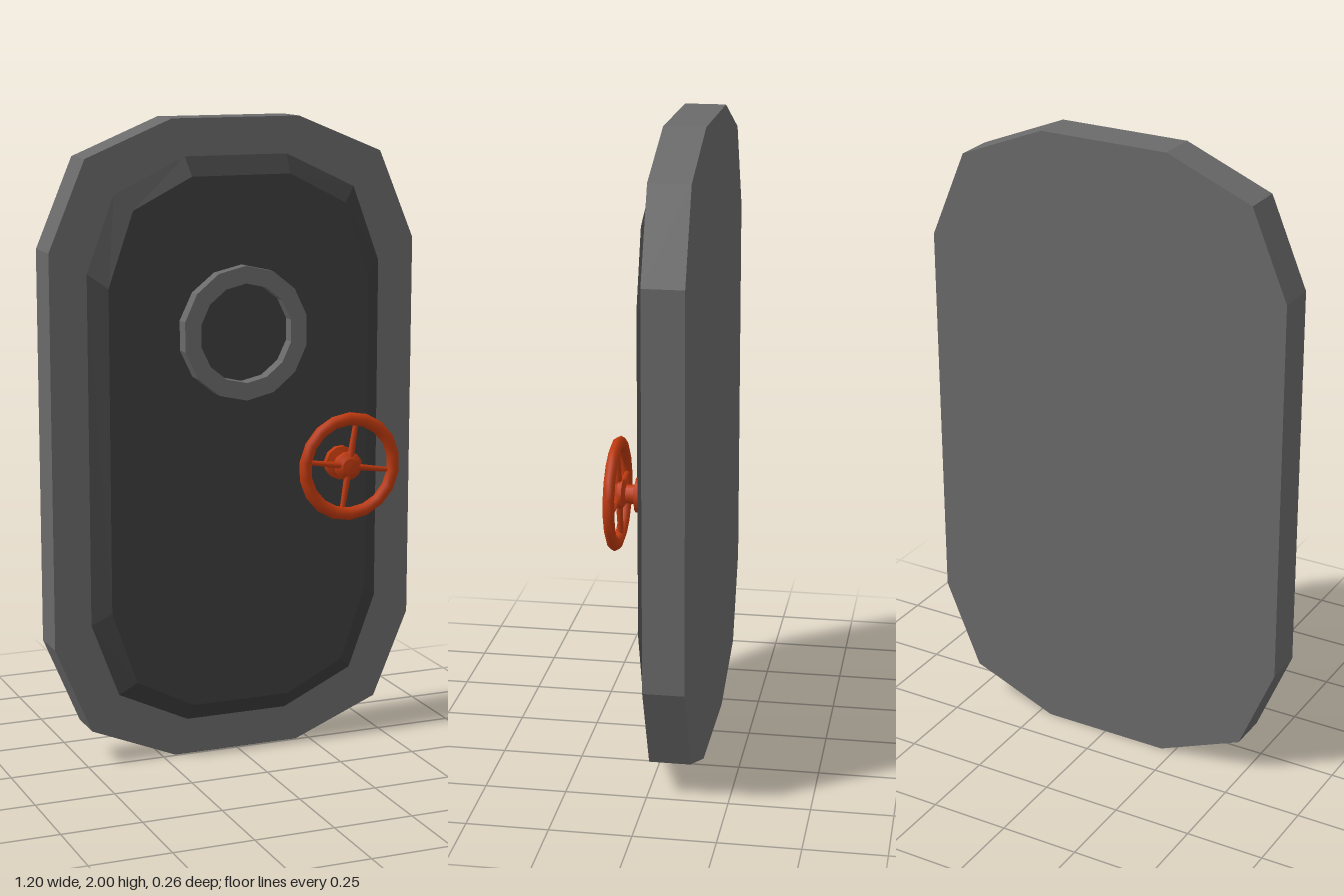
import * as THREE from 'three';

const frameMat = new THREE.MeshStandardMaterial({ color: 0x6a6a6a });
frameMat.name = 'grey steel';
const doorMat = new THREE.MeshStandardMaterial({ color: 0x3d3d3d });
doorMat.name = 'dark steel';
const wheelMat = new THREE.MeshStandardMaterial({ color: 0xc03a0f });
wheelMat.name = 'orange paint';

function part(parent, name, geometry, material) {
  const mesh = new THREE.Mesh(geometry, material);
  mesh.name = name;
  parent.add(mesh);
  return mesh;
}

// Mirror one corner (three points around y = 1) into a closed 12-sided outline
function outline(corner) {
  const back = [...corner].reverse();
  return [
    ...corner,
    ...back.map(([x, y]) => [-x, y]),
    ...corner.map(([x, y]) => [-x, -y]),
    ...back.map(([x, y]) => [x, -y]),
  ].map(([x, y]) => new THREE.Vector2(x, y + 1));
}

// Bevelled panel: sloped sides between two outlines plus a flat front
function panel(base, front, z0, z1) {
  const pos = [];
  const put = (p, z) => pos.push(p.x, p.y, z);
  const n = base.length;
  for (let i = 0; i < n; i++) {
    const j = (i + 1) % n;
    put(base[i], z0); put(base[j], z0); put(front[j], z1);
    put(base[i], z0); put(front[j], z1); put(front[i], z1);
    put(new THREE.Vector2(0, 1), z1); put(front[i], z1); put(front[j], z1);
  }
  const g = new THREE.BufferGeometry();
  g.setAttribute('position', new THREE.Float32BufferAttribute(pos, 3));
  g.computeVertexNormals();
  return g;
}

function polygon(target, radius, sides) {
  const pts = [];
  for (let i = 0; i < sides; i++) {
    const a = Math.PI / 2 + (i / sides) * Math.PI * 2;
    pts.push(new THREE.Vector2(radius * Math.cos(a), radius * Math.sin(a)));
  }
  return target.setFromPoints(pts).closePath();
}

// Porthole rim with a slightly tilted front face
function rimGeometry() {
  const shape = polygon(new THREE.Shape(), 0.207, 14);
  shape.holes.push(polygon(new THREE.Path(), 0.153, 14));
  const g = new THREE.ExtrudeGeometry(shape, { depth: 0.045, bevelEnabled: false });
  const p = g.attributes.position;
  for (let i = 0; i < p.count; i++) {
    if (p.getZ(i) > 0.02) p.setZ(i, p.getZ(i) - 0.022 * (p.getX(i) + p.getY(i)));
  }
  g.computeVertexNormals();
  return g;
}

// Valve wheel: rim, four spokes and a turned hub, all facing +z
function valveWheel() {
  const wheel = new THREE.Group();
  wheel.name = 'valveWheel';
  const rim = part(wheel, 'wheelRim', new THREE.TorusGeometry(0.152, 0.021, 8, 18), wheelMat);
  rim.scale.z = 0.83;
  rim.position.z = 0.112;
  for (let i = 0; i < 4; i++) {
    const a = (i * Math.PI) / 2;
    const g = new THREE.CylinderGeometry(0.008, 0.011, 0.12, 6);
    g.translate(0, 0.085, 0).rotateZ(a);
    part(wheel, 'spoke', g, wheelMat).position.z = 0.108;
  }
  const profile = [
    [0.054, 0.034], [0.054, 0.055], [0.03, 0.06], [0.028, 0.085],
    [0.045, 0.095], [0.045, 0.108], [0.026, 0.121], [0, 0.123],
  ].map(([r, z]) => new THREE.Vector2(r, z));
  // Each band of the profile is separate so its edges stay crisp
  for (let i = 0; i + 1 < profile.length; i++) {
    const g = new THREE.LatheGeometry([profile[i], profile[i + 1]], 12);
    g.rotateX(Math.PI / 2);
    part(wheel, 'hub', g, wheelMat);
  }
  wheel.rotation.z = -0.16;
  wheel.position.set(0.335, 0.915, 0);
  return wheel;
}

export function createModel() {
  const model = new THREE.Group();
  model.name = 'bulkheadHatch';

  // Heavy surround
  const frameShape = new THREE.Shape(outline([[0.6, 0.612], [0.484, 0.887], [0.208, 1]]));
  const frame = new THREE.ExtrudeGeometry(frameShape, { depth: 0.126, bevelEnabled: false });
  part(model, 'frame', frame.translate(0, 0, -0.132), frameMat);

  // Raised door leaf
  const base = outline([[0.482, 0.545], [0.394, 0.779], [0.167, 0.886]]);
  const front = outline([[0.428, 0.502], [0.348, 0.733], [0.16, 0.828]]);
  part(model, 'door', panel(base, front, -0.006, 0.036), doorMat);

  part(model, 'portholeRim', rimGeometry(), frameMat).position.set(0, 1.35, 0.034);
  model.add(valveWheel());
  return model;
}
